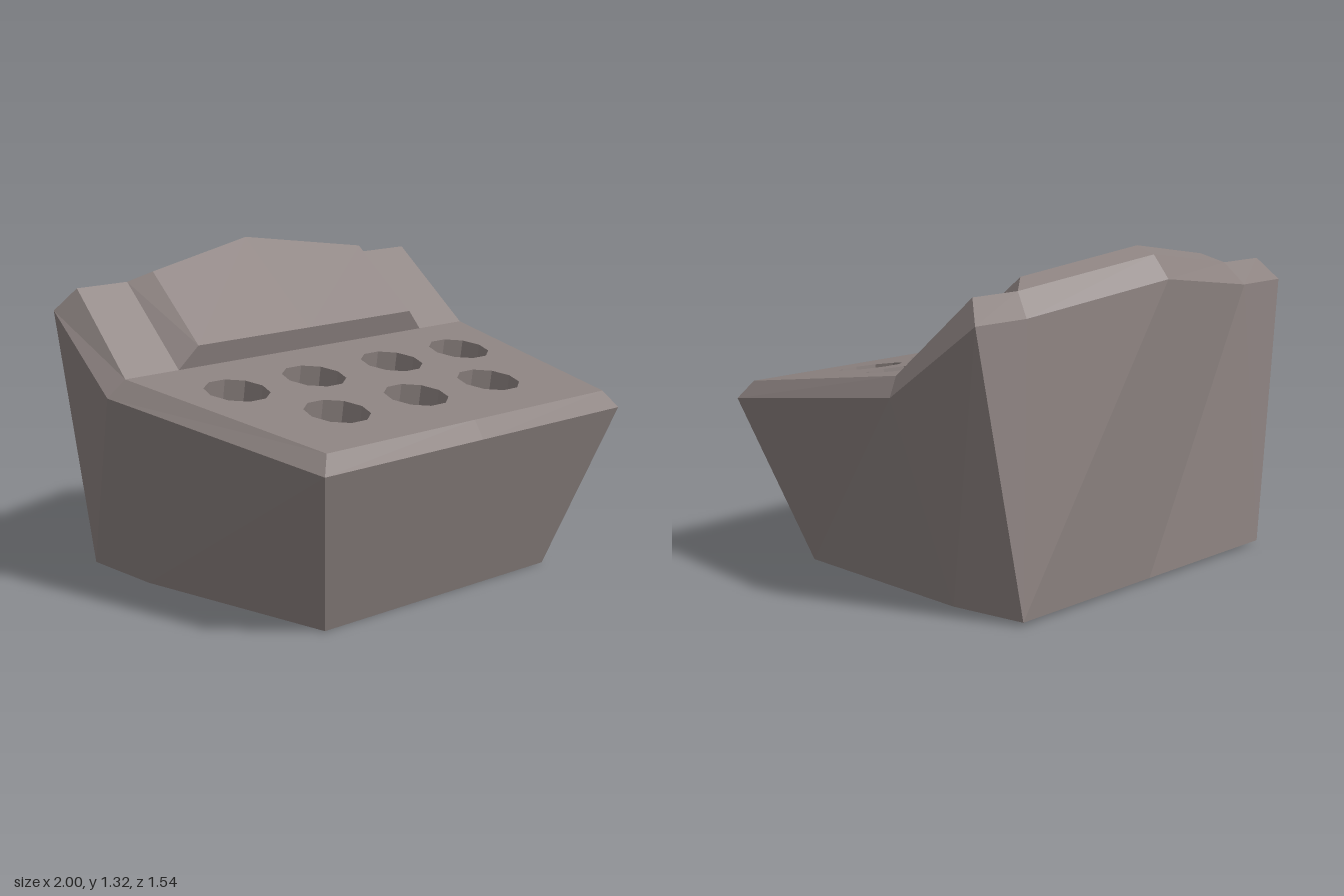
import * as THREE from 'three';

const material = new THREE.MeshStandardMaterial({ color: 0x8c8280, flatShading: true });
const wellMaterial = material.clone();
wellMaterial.side = THREE.DoubleSide;

const V = (x, y, z) => new THREE.Vector3(x, y, z);
const mid = p => V(0, p.y, p.z);       // same point on the centre plane
const flip = p => V(-p.x, p.y, p.z);   // mirrored point

// Mesh from polygons given for the +x half, mirrored to the -x half
function mirrored(name, faces) {
  const points = [];
  const fan = f => {
    for (let i = 1; i < f.length - 1; i++) points.push(f[0], f[i], f[i + 1]);
  };
  for (const f of faces) {
    fan(f);
    fan(f.map(flip).reverse());
  }
  const geometry = new THREE.BufferGeometry().setFromPoints(points);
  geometry.computeVertexNormals();
  const mesh = new THREE.Mesh(geometry, material);
  mesh.name = name;
  return mesh;
}

// Sloping deck with round wells, built flat and then tilted into place
function createDeck(front, back) {
  const deck = new THREE.Group();
  deck.name = 'deck';
  const up = mid(back).sub(mid(front));
  const length = up.length();
  up.normalize();
  const across = V(1, 0, 0);
  const radius = 0.13, depth = 0.15, sides = 10;

  const shape = new THREE.Shape([
    [-front.x, 0], [front.x, 0], [back.x, length], [-back.x, length],
  ].map(p => new THREE.Vector2(...p)));

  const centres = [];
  for (const x of [-0.62, -0.22, 0.215, 0.62]) centres.push([x, 0.055]);
  for (const x of [-0.425, 0, 0.42]) centres.push([x, 0.41]);

  const wall = new THREE.CylinderGeometry(radius, radius, depth, sides, 1, true, Math.PI / 2);
  wall.rotateX(Math.PI / 2).translate(0, 0, -depth / 2);
  const floor = new THREE.CircleGeometry(radius, sides).translate(0, 0, -depth);

  for (const [x, z] of centres) {
    const v = (front.z - z) / -up.z;
    const ring = [];
    for (let i = 0; i < sides; i++) {
      const a = -i * 2 * Math.PI / sides;
      ring.push(new THREE.Vector2(x + radius * Math.cos(a), v + radius * Math.sin(a)));
    }
    shape.holes.push(new THREE.Path(ring));

    const well = new THREE.Group();
    well.name = 'well';
    well.add(new THREE.Mesh(wall, wellMaterial), new THREE.Mesh(floor, material));
    well.children[0].name = 'wellWall';
    well.children[1].name = 'wellFloor';
    well.position.set(x, v, 0);
    deck.add(well);
  }

  const surface = new THREE.Mesh(new THREE.ShapeGeometry(shape), material);
  surface.name = 'deckSurface';
  deck.add(surface);

  const basis = new THREE.Matrix4().makeBasis(across, up, across.clone().cross(up));
  deck.quaternion.setFromRotationMatrix(basis);
  deck.position.copy(mid(front));
  return deck;
}

export function createModel() {
  const model = new THREE.Group();
  model.name = 'console';

  // Base corners, front to back
  const a0 = V(0.62, 0, 0.55), a1 = V(0.76, 0.005, -0.35), a2 = V(0.77, 0.015, -0.7);
  // Outer rim, front to back centre
  const b0 = V(0.82, 0.675, 0.77), b1 = V(1, 0.82, -0.265), b2 = V(0.97, 1.11, -0.65);
  const b3 = V(0.7, 1.11, -0.655), b4 = V(0, 1.2, -0.77);
  // Inner rim, front to back centre
  const c0 = V(0.77, 0.745, 0.725), c1 = V(0.935, 0.89, -0.235), c2 = V(0.905, 1.2, -0.58);
  const c3 = V(0.66, 1.2, -0.58), c4 = V(0, 1.29, -0.7);
  // Raised panel: foot corner, then its face
  const p1 = V(0.675, 0.89, -0.235);
  const t1 = V(0.59, 0.98, -0.215), t2 = V(0.575, 1.24, -0.52), t3 = V(0, 1.32, -0.62);

  model.add(
    mirrored('body', [
      [mid(a0), a0, b0, mid(b0)],
      [a0, a1, b1, b0],
      [a1, a2, b2, b1],
      [a2, mid(a2), b4, b3],
      [a2, b3, b2],
      [mid(a2), a2, a1, a0, mid(a0)],
    ]),
    mirrored('bevelledRim', [
      [mid(b0), b0, c0, mid(c0)],
      [b0, b1, c1, c0],
      [b1, b2, c2, c1],
      [b2, b3, c3, c2],
      [b3, b4, c4, c3],
    ]),
    mirrored('backSlope', [[p1, c1, c2, c3]]),
    mirrored('raisedPanel', [
      [mid(t1), t1, t2, t3],
      [mid(p1), p1, t1, mid(t1)],
      [p1, c3, t2, t1],
      [t3, t2, c3, c4],
    ]),
    createDeck(c0, c1),
  );
  return model;
}
